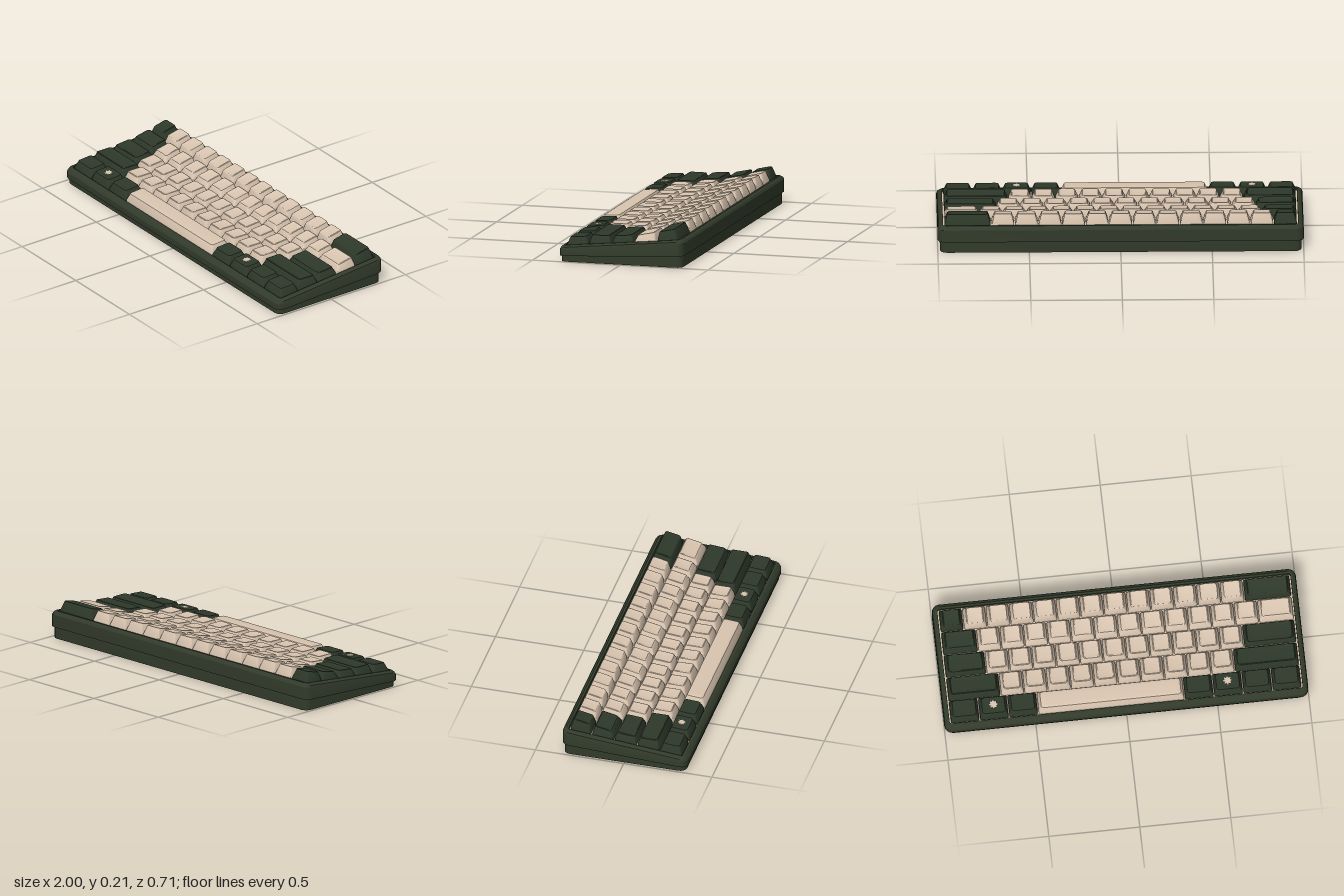
import * as THREE from 'three';
import { toCreasedNormals } from 'three/addons/utils/BufferGeometryUtils.js';

const paint = (name, color) => {
  const m = new THREE.MeshStandardMaterial({ color });
  m.name = name;
  return m;
};

// Points of a rounded rectangle in the xz plane
function roundedRect(w, d, r, cx, cz, seg = 4) {
  const pts = [];
  r = Math.max(0, Math.min(r, w / 2, d / 2));
  [[1, 1], [-1, 1], [-1, -1], [1, -1]].forEach(([sx, sz], q) => {
    for (let i = 0; i <= seg; i++) {
      const a = (q + i / seg) * Math.PI / 2;
      pts.push([cx + sx * (w / 2 - r) + r * Math.cos(a), cz + sz * (d / 2 - r) + r * Math.sin(a)]);
    }
  });
  return pts;
}

// Skin over stacked rounded rectangles; each ring is { w, d, r, cx, cz, y(z) }
function loft(rings, crease = 0.6) {
  const pos = [], idx = [];
  let n = 0;
  for (const { w, d, r = 0, cx = 0, cz = 0, y } of rings) {
    const pts = roundedRect(w, d, r, cx, cz);
    n = pts.length;
    for (const [x, z] of pts) pos.push(x, y(z), z);
  }
  for (let j = 0; j < rings.length - 1; j++) {
    for (let i = 0; i < n; i++) {
      const a = j * n + i, b = j * n + (i + 1) % n, c = b + n, e = a + n;
      idx.push(a, e, c, a, c, b);
    }
  }
  const g = new THREE.BufferGeometry();
  g.setAttribute('position', new THREE.Float32BufferAttribute(pos, 3));
  g.setIndex(idx);
  return toCreasedNormals(g, crease);
}

// Straight height line through two (z, y) points
const line = (z0, y0, z1, y1) => z => y0 + (y1 - y0) * (z - z0) / (z1 - z0);
const shift = (f, dy) => z => f(z) + dy;

const rimTop = line(0.335, 0.088, -0.33, 0.153);
const shellTop = line(0.355, 0.065, -0.355, 0.135);
const shellBottom = line(0.355, 0.031, -0.355, 0.065);

// Side profile of each row, back to front: base z range, top edge (z, y) front and back
const U = 1.93 / 15;
const ROWS = [
  { base: [-0.2, -0.312], front: [-0.206, 0.188], back: [-0.295, 0.208], dish: 0.004, keys: [1, ...Array(12).fill(1), 2], dark: [0, 13] },
  { base: [-0.07, -0.189], front: [-0.083, 0.163], back: [-0.178, 0.183], dish: 0.004, keys: [1.5, ...Array(12).fill(1), 1.5], dark: [0] },
  { base: [0.058, -0.061], front: [0.049, 0.153], back: [-0.05, 0.162], dish: 0.004, keys: [1.75, ...Array(11).fill(1), 2.25], dark: [0, 12] },
  { base: [0.19, 0.068], front: [0.178, 0.151], back: [0.078, 0.151], dish: 0.004, keys: [2.25, ...Array(10).fill(1), 2.75], dark: [0, 11] },
  { base: [0.315, 0.197], front: [0.302, 0.134], back: [0.21, 0.141], dish: 0.002, keys: [1.25, 1.25, 1.25, 6.25, 1.25, 1.25, 1.25, 1.25], dark: [0, 1, 2, 4, 5, 6, 7] },
];

// Tapered keycap with rounded shoulders and a shallow dished top
function keycap(row, cx, width, dish) {
  const { base, front, back } = row;
  const w = width - 0.006, d = base[0] - base[1], bz = (base[0] + base[1]) / 2;
  const tw = w - 0.028, td = front[0] - back[0], tz = (front[0] + back[0]) / 2;
  const top = line(front[0], front[1], back[0], back[1]);
  const inset = (k, dy) => ({ w: tw - 2 * k, d: td - 2 * k, r: 0.014 - k * 0.5, cx, cz: tz, y: shift(top, dy) });
  return loft([
    { w, d, r: 0.008, cx, cz: bz, y: shift(rimTop, -0.019) },
    { w, d, r: 0.008, cx, cz: bz, y: shift(rimTop, 0.001) },
    inset(-0.001, -0.007),
    inset(0.001, -0.002),
    inset(0.005, 0),
    inset(0.012, -dish * 0.5),
    inset(0.025, -dish * 0.9),
    { w: Math.max(tw - td, 0), d: 0, cx, cz: tz, y: shift(top, -dish) },
  ]);
}

// Small blossom plate
function blossom() {
  const s = new THREE.Shape();
  const N = 48;
  for (let i = 0; i < N; i++) {
    const a = i / N * Math.PI * 2, r = 0.02 + 0.004 * Math.cos(a * 8);
    s[i ? 'lineTo' : 'moveTo'](r * Math.cos(a), r * Math.sin(a));
  }
  return new THREE.ExtrudeGeometry(s, { depth: 0.003, bevelEnabled: false }).rotateX(-Math.PI / 2);
}

export function createModel() {
  const model = new THREE.Group();
  model.name = 'keyboard';
  const caseGreen = paint('case green', 0x323b2b);
  const keyGreen = paint('key green', 0x2e392a);
  const cream = paint('cream', 0xd9c5b0);
  const add = (name, geo, mat, parent = model) => {
    const m = new THREE.Mesh(geo, mat);
    m.name = name;
    parent.add(m);
    return m;
  };

  // Lower case, flat underneath
  const low = { w: 1.975, d: 0.692, r: 0.038 };
  add('lowerCase', loft([
    { w: 1.283, d: 0, y: () => 0 },
    { ...low, y: () => 0 },
    { ...low, y: shift(shellBottom, 0.004) },
  ]), caseGreen);

  // Upper case: sloped shell with chamfered rim and key well
  add('upperCase', loft([
    { w: 1.95, d: 0.67, r: 0.03, y: shellBottom },
    { w: 2, d: 0.71, r: 0.042, y: shellBottom },
    { w: 2, d: 0.71, r: 0.042, y: shellTop },
    { w: 1.992, d: 0.696, r: 0.04, y: shift(rimTop, -0.009) },
    { w: 1.965, d: 0.67, r: 0.03, y: rimTop },
    { w: 1.94, d: 0.644, r: 0.01, y: rimTop },
    { w: 1.94, d: 0.644, r: 0.01, y: shift(rimTop, -0.03) },
  ], 0.45), caseGreen);

  // Mounting plate under the keys
  add('plate', loft([
    { w: 1.94, d: 0.644, r: 0.01, y: shift(rimTop, -0.022) },
    { w: 1.94, d: 0.644, r: 0.01, y: shift(rimTop, -0.018) },
    { w: 1.296, d: 0, y: shift(rimTop, -0.018) },
  ]), cream);

  // Keys, row by row
  ROWS.forEach((row, r) => {
    const group = new THREE.Group();
    group.name = `keyRow${r + 1}`;
    model.add(group);
    let x = -0.965;
    row.keys.forEach((units, k) => {
      const width = units * U, cx = x + width / 2;
      const isDark = row.dark.includes(k), isSpace = units > 6;
      const name = isSpace ? 'spaceBar' : isDark ? 'modifierKey' : 'letterKey';
      add(name, keycap(row, cx, width, isSpace ? -0.002 : row.dish), isDark ? keyGreen : cream, group);
      // Blossoms on two bottom-row keys
      if (r === 4 && (k === 1 || k === 5)) {
        const mark = add('blossom', blossom(), cream, group);
        mark.position.set(cx, 0.1355, 0.254);
        mark.rotation.x = Math.atan2(0.007, 0.092);
      }
      x += width;
    });
  });
  return model;
}
